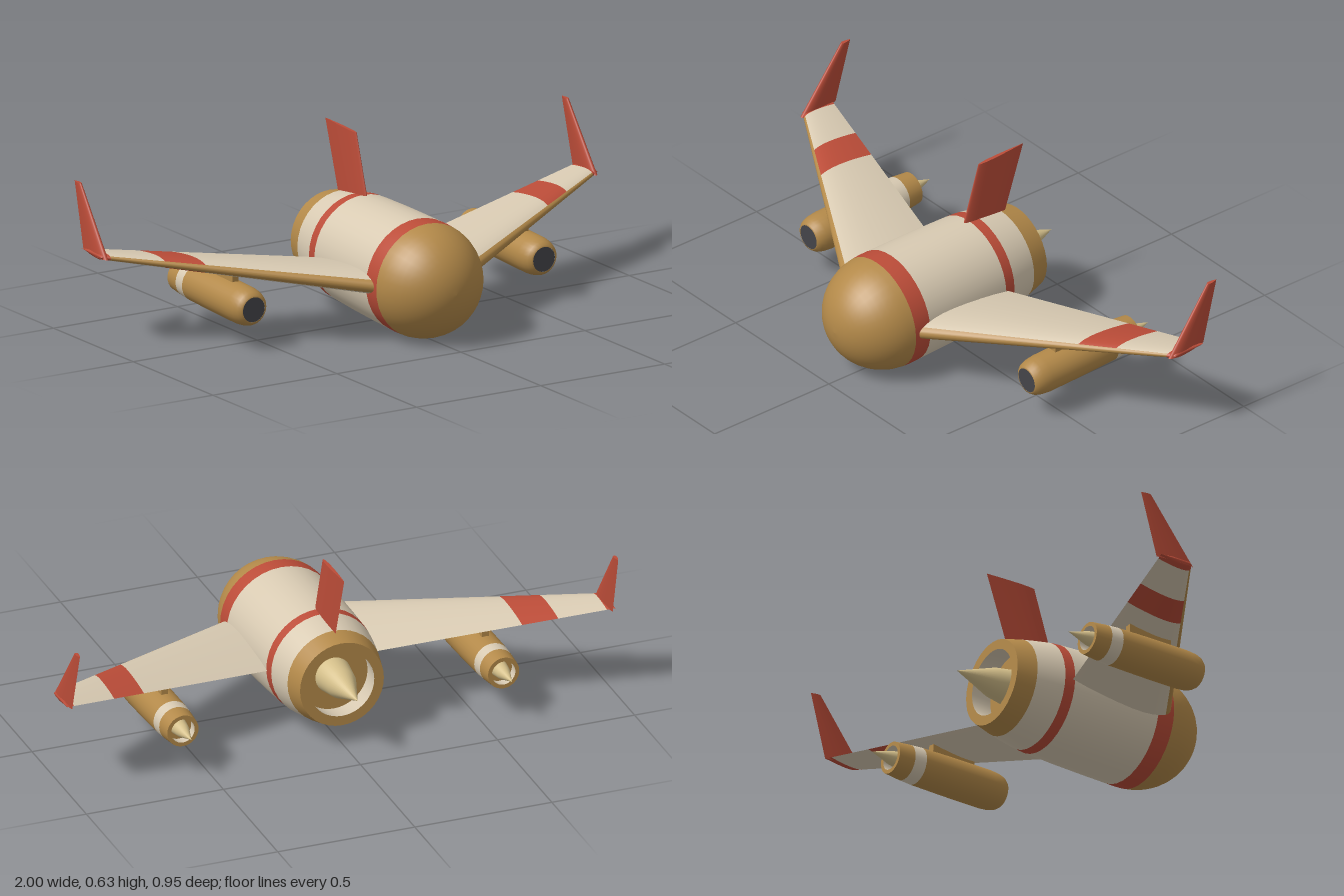
import * as THREE from 'three';

const mat = (name, color, side = THREE.FrontSide) => {
  const m = new THREE.MeshStandardMaterial({ color, side });
  m.name = name;
  return m;
};

export function createModel() {
  const cream = mat('cream', 0xd8cab2);
  const red = mat('red', 0xbb4c38);
  const brown = mat('bronze', 0xb38949);
  const tan = mat('tan', 0xd4bf8a);
  const dark = mat('dark grey', 0x45454a);

  const model = new THREE.Group();
  model.name = 'aircraft';
  // The airframe sits slightly nose down
  const frame = new THREE.Group();
  frame.name = 'airframe';
  frame.position.y = 0.215;
  frame.rotation.x = 0.038;
  model.add(frame);

  const add = (parent, name, geo, material) => {
    const mesh = new THREE.Mesh(geo, material);
    mesh.name = name;
    parent.add(mesh);
    return mesh;
  };

  // Revolved part along z: points are [z, radius], listed tail to nose
  const turned = (parent, name, pts, material, sides = 36) => {
    const geo = new THREE.LatheGeometry(pts.map(([z, r]) => new THREE.Vector2(r, z)), sides);
    return add(parent, name, geo.rotateX(Math.PI / 2), material);
  };

  // Surface through sections; each section maps profile point (c, h) to [x, y, z]
  const loft = (parent, name, sections, profile, material) => {
    const pos = [], idx = [], n = sections.length;
    for (const [c, h] of profile) for (const s of sections) pos.push(...s(c, h));
    for (let i = 0; i < profile.length - 1; i++) {
      for (let j = 0; j < n - 1; j++) {
        const a = i * n + j, b = a + n;
        idx.push(a, b, a + 1, b, b + 1, a + 1);
      }
    }
    const geo = new THREE.BufferGeometry();
    geo.setAttribute('position', new THREE.Float32BufferAttribute(pos, 3));
    geo.setIndex(idx);
    geo.computeVertexNormals();
    return add(parent, name, geo, material);
  };

  // Symmetric aerofoil: c runs from leading edge 0 to trailing edge 1
  const half = c => c >= 1 ? 0
    : 5 * (0.2969 * Math.sqrt(c) - 0.126 * c - 0.3516 * c * c + 0.2843 * c ** 3 - 0.1015 * c ** 4);
  const side = (cs, sign) => cs.map(c => [c, sign * half(c)]);
  const rear = [1, 0.85, 0.7, 0.55, 0.4, 0.28, 0.18, 0.1, 0.05];
  const front = [0.05, 0.03, 0.015, 0.005, 0];
  const upper = side(rear, 1);
  const lower = side([...rear].reverse(), -1);
  const nose = [...side(front, 1), ...side([...front].reverse().slice(1), -1)];
  const whole = [...upper, ...nose.slice(1), ...lower.slice(1)];

  // Fuselage
  const body = new THREE.Group();
  body.name = 'fuselage';
  frame.add(body);
  const dome = [];
  for (let i = 0; i <= 12; i++) {
    const a = 0.107 + (Math.PI / 2 - 0.107) * i / 12;
    dome.push([0.26 + 0.215 * Math.sin(a), 0.203 * Math.cos(a)]);
  }
  turned(body, 'noseDome', dome, brown);
  turned(body, 'frontBand', [[0.22, 0.2025], [0.25, 0.203], dome[0]], red);
  turned(body, 'cabin', [[-0.12, 0.193], [0, 0.198], [0.12, 0.201], [0.22, 0.2025]], cream);
  turned(body, 'rearBand', [[-0.158, 0.19], [-0.12, 0.193]], red);
  turned(body, 'aftBody', [[-0.26, 0.171], [-0.21, 0.181], [-0.158, 0.19]], cream);
  turned(body, 'tailRing', [[-0.33, 0.153], [-0.26, 0.171]], brown);
  turned(body, 'tailLip', [[-0.33, 0.118], [-0.33, 0.153]], brown);
  turned(body, 'tailDuct', [[-0.25, 0.125], [-0.33, 0.118]], cream);
  turned(body, 'ductBack', [[-0.25, 0], [-0.25, 0.125]], brown);
  turned(body, 'exhaustCone', [[-0.475, 0], [-0.33, 0.052], [-0.25, 0.065]], tan);

  // Upright surface section: height, leading z, trailing z, thickness, centre x
  const upright = (y, le, te, t, x = 0) => (c, h) => [x - h * t, y, le + (te - le) * c];
  loft(frame, 'tailFin',
    [upright(0.14, -0.08, -0.268, 0.022), upright(0.4, -0.17, -0.366, 0.013)], whole, red);
  loft(frame, 'tailFinCap',
    [upright(0.4, -0.17, -0.366, 0.013), upright(0.4, -0.17, -0.366, 0)], whole, red);

  // Wing section at span position x
  const wingAt = (x, k = 1) => {
    const u = (x - 0.2) / 0.78;
    const le = 0.27 - 0.462 * u, te = -0.13 - 0.193 * u;
    const y = 0.096 * u, t = (0.078 - 0.054 * u) * k;
    return (c, h) => [x, y + h * t, le + (te - le) * c];
  };

  const buildSide = (label) => {
    const g = new THREE.Group();
    g.name = label;
    frame.add(g);

    // Wing panels with a painted band
    const panels = [[0.12, 0.69, cream, 'innerWing'], [0.69, 0.81, red, 'wingBand'], [0.81, 0.972, cream, 'outerWing']];
    for (const [a, b, m, name] of panels) {
      loft(g, name + 'Top', [wingAt(a), wingAt(b)], upper, m);
      loft(g, name + 'Underside', [wingAt(a), wingAt(b)], lower, m);
    }
    loft(g, 'leadingEdge', [wingAt(0.12), wingAt(0.972)], nose, brown);
    loft(g, 'wingTip', [wingAt(0.972), wingAt(0.995), wingAt(1, 0.3), wingAt(1, 0)], whole, red);

    // Swept winglet
    const top = [0.316, -0.3675, -0.4075];
    loft(g, 'winglet',
      [upright(0.092, -0.187, -0.338, 0.026, 0.986), upright(...top, 0.013, 0.982)], whole, red);
    loft(g, 'wingletCap', [upright(...top, 0.013, 0.982), upright(...top, 0, 0.982)], whole, red);

    // Engine nacelle hung below the wing
    const e = new THREE.Group();
    e.name = 'engine';
    e.position.set(0.585, -0.062, 0);
    g.add(e);
    turned(e, 'nacelle', [[-0.235, 0.066], [-0.1, 0.068], [0.05, 0.068], [0.08, 0.065],
      [0.1, 0.059], [0.112, 0.05], [0.114, 0.044]], brown, 28);
    turned(e, 'intake', [[0.113, 0.044], [0.113, 0]], dark, 28);
    turned(e, 'nacelleBand', [[-0.28, 0.063], [-0.235, 0.066]], cream, 28);
    turned(e, 'nozzle', [[-0.34, 0.057], [-0.28, 0.063]], brown, 28);
    turned(e, 'nozzleLip', [[-0.34, 0.043], [-0.34, 0.057]], brown, 28);
    turned(e, 'nozzleDuct', [[-0.3, 0.046], [-0.34, 0.043]], cream, 28);
    turned(e, 'nozzleBack', [[-0.3, 0], [-0.3, 0.046]], brown, 28);
    turned(e, 'nozzleCone', [[-0.418, 0], [-0.34, 0.024], [-0.3, 0.03]], tan, 28);

    // Pylon between nacelle and wing
    const pylon = add(g, 'pylon', new THREE.BoxGeometry(0.025, 0.06, 0.17), brown);
    pylon.position.set(0.585, 0.012, -0.09);
    return g;
  };
  buildSide('leftWing');
  buildSide('rightWing').scale.x = -1;

  return model;
}
